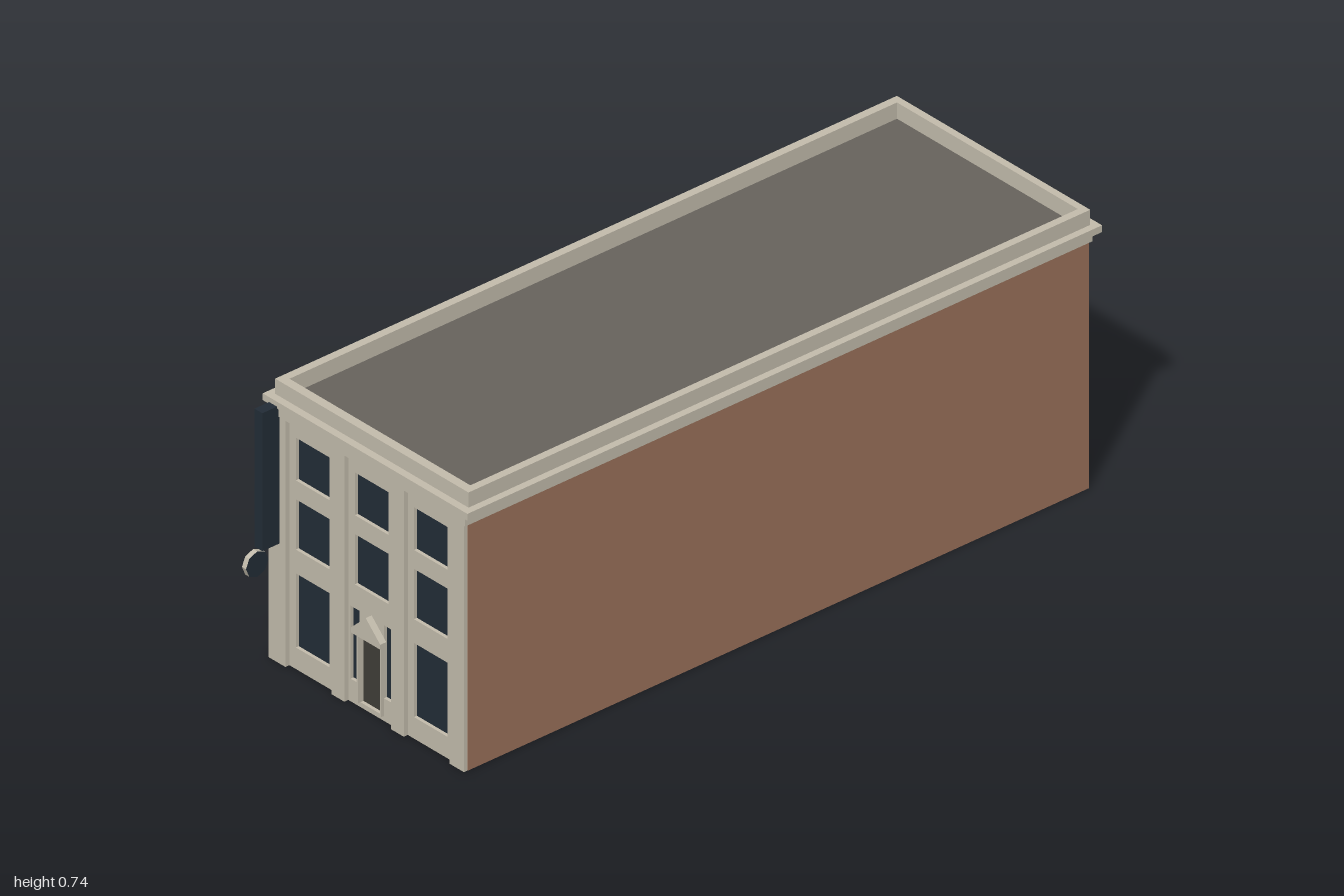
import * as THREE from 'three';

const mat = (name, color) => Object.assign(new THREE.MeshStandardMaterial({ color }), { name });
const stone = mat('stone', 0xc2bbab);
const brick = mat('brick', 0x9a705a);
const glass = mat('darkGlass', 0x222c36);
const roofing = mat('roofing', 0x66625c);
const doorPaint = mat('doorPaint', 0x3f3e38);

const WALL = 0.012;    // wall thickness
const RELIEF = 0.012;  // how far pilasters stand out
const EAVES = 0.655;   // top of the walls

function add(parent, name, geometry, material) {
  const mesh = new THREE.Mesh(geometry, material);
  mesh.name = name;
  parent.add(mesh);
  return mesh;
}

// box given by its limits on each axis
function box(parent, name, material, x0, x1, y0, y1, z0, z1) {
  const mesh = add(parent, name, new THREE.BoxGeometry(x1 - x0, y1 - y0, z1 - z0), material);
  mesh.position.set((x0 + x1) / 2, (y0 + y1) / 2, (z0 + z1) / 2);
  return mesh;
}

function rectPoints(x0, x1, y0, y1) {
  return [[x0, y0], [x1, y0], [x1, y1], [x0, y1]].map(([x, y]) => new THREE.Vector2(x, y));
}

// wall in local x/y with its outer face at z = 0; openings are [x0, x1, y0, y1, material]
function wall(parent, name, material, x0, x1, openings) {
  const shape = new THREE.Shape(rectPoints(x0, x1, 0, EAVES));
  for (const [a, b, c, d] of openings) shape.holes.push(new THREE.Path(rectPoints(a, b, c, d)));
  const geometry = new THREE.ExtrudeGeometry(shape, { depth: WALL, bevelEnabled: false });
  geometry.translate(0, 0, -WALL);
  add(parent, name, geometry, material);
  for (const [a, b, c, d, m] of openings) {
    box(parent, m === doorPaint ? 'door' : 'windowPane', m, a, b, c, d, -WALL - 0.004, -WALL + 0.003);
  }
}

// horizontal rectangular ring; limits are [x0, x1, z0, z1]
function ring(parent, name, outer, inner, y0, y1) {
  const flip = ([x0, x1, z0, z1]) => rectPoints(x0, x1, -z1, -z0);
  const shape = new THREE.Shape(flip(outer));
  shape.holes.push(new THREE.Path(flip(inner)));
  const geometry = new THREE.ExtrudeGeometry(shape, { depth: y1 - y0, bevelEnabled: false });
  geometry.rotateX(-Math.PI / 2);
  add(parent, name, geometry, stone).position.y = y0;
}

export function createModel() {
  const model = new THREE.Group();
  model.name = 'building';
  const rows = [[0.057, 0.253], [0.316, 0.449], [0.499, 0.612]];
  const half = 0.0575;

  // front facade
  const front = new THREE.Group();
  front.name = 'frontFacade';
  front.position.z = 0.893;
  model.add(front);
  const frontOpenings = [];
  for (const x of [-0.2025, 0, 0.2025]) {
    rows.forEach(([y0, y1], i) => {
      if (x !== 0 || i > 0) frontOpenings.push([x - half, x + half, y0, y1, glass]);
    });
  }
  frontOpenings.push([-0.072, -0.042, 0.06, 0.253, glass], [0.042, 0.071, 0.06, 0.253, glass]);
  frontOpenings.push([-0.038, 0.038, 0.013, 0.199, doorPaint]);
  wall(front, 'frontWall', stone, -0.328, 0.33, frontOpenings);
  for (const [a, b] of [[-0.34, -0.282], [-0.124, -0.08], [0.08, 0.124], [0.281, 0.33]]) {
    box(front, 'frontPilaster', stone, a, b, 0, EAVES, -0.002, RELIEF);
  }

  // entrance surround and gabled hood
  for (const s of [-1, 1]) {
    box(front, 'doorJamb', stone, s * 0.04 - 0.002, s * 0.04 + 0.002, 0.013, 0.2, -0.002, 0.008);
  }
  const hood = new THREE.Shape([[-0.051, 0.199], [0.05, 0.199], [0.05, 0.212], [0, 0.26], [-0.051, 0.212]]
    .map(([x, y]) => new THREE.Vector2(x, y)));
  add(front, 'entranceHood', new THREE.ExtrudeGeometry(hood, { depth: 0.018, bevelEnabled: false }), stone);

  // long street facade on the right-hand side, local x runs along world z
  const side = new THREE.Group();
  side.name = 'sideFacade';
  side.rotation.y = -Math.PI / 2;
  side.position.x = -0.328;
  model.add(side);
  const pitch = 0.1845, bays = 10, firstBay = 0.79;
  const sideOpenings = [];
  for (let i = 0; i < bays; i++) {
    const c = firstBay - i * pitch;
    rows.forEach(([y0, y1], r) => {
      if (i === 2 && r === 0) sideOpenings.push([c - 0.047, c + 0.047, 0.013, 0.185, doorPaint]);
      else sideOpenings.push([c - half, c + half, y0, y1, glass]);
    });
    if (i < bays - 1) {
      const p = c - pitch / 2;
      box(side, 'sidePilaster', stone, p - 0.022, p + 0.022, 0, EAVES, -0.002, RELIEF);
    }
  }
  wall(side, 'sideWall', stone, -0.978, 0.893, sideOpenings);
  box(side, 'cornerPilaster', stone, 0.861, 0.904, 0, EAVES, -0.002, RELIEF - 0.0005);
  box(side, 'cornerPilaster', stone, -0.98, -0.941, 0, EAVES, -0.002, RELIEF);

  // plain brick party wall
  box(model, 'partyWall', brick, 0.318, 0.331, 0, EAVES, -0.977, 0.894);

  // brick back wall, local x runs along world -x
  const back = new THREE.Group();
  back.name = 'backFacade';
  back.rotation.y = Math.PI;
  back.position.z = -0.978;
  model.add(back);
  const backOpenings = [];
  for (const x of [-0.158, 0.023, 0.203]) {
    for (const y of [0.328, 0.492]) backOpenings.push([x - 0.036, x + 0.036, y, y + 0.098, glass]);
  }
  wall(back, 'backWall', brick, -0.331, 0.328, backOpenings);

  // frieze, cornice, parapet and roof
  const inner = [-0.31, 0.31, -0.962, 0.868];
  ring(model, 'frieze', [-0.337, 0.336, -0.983, 0.907], inner, 0.653, 0.677);
  ring(model, 'cornice', [-0.352, 0.35, -1, 0.912], inner, 0.677, 0.695);
  ring(model, 'parapet', [-0.332, 0.331, -0.981, 0.892], inner, 0.695, 0.735);
  box(model, 'roof', roofing, -0.312, 0.312, 0.68, 0.692, -0.964, 0.87);

  // blade sign with an eight-sided clock below it
  box(model, 'bladeSign', glass, -0.33, -0.303, 0.317, 0.682, 0.9, 0.956);
  const drum = new THREE.CylinderGeometry(0.034, 0.034, 0.014, 8).toNonIndexed();
  drum.computeVertexNormals();
  drum.rotateZ(Math.PI / 2);
  add(model, 'clock', drum, [stone, glass, glass]).position.set(-0.316, 0.284, 0.966);

  return model;
}
